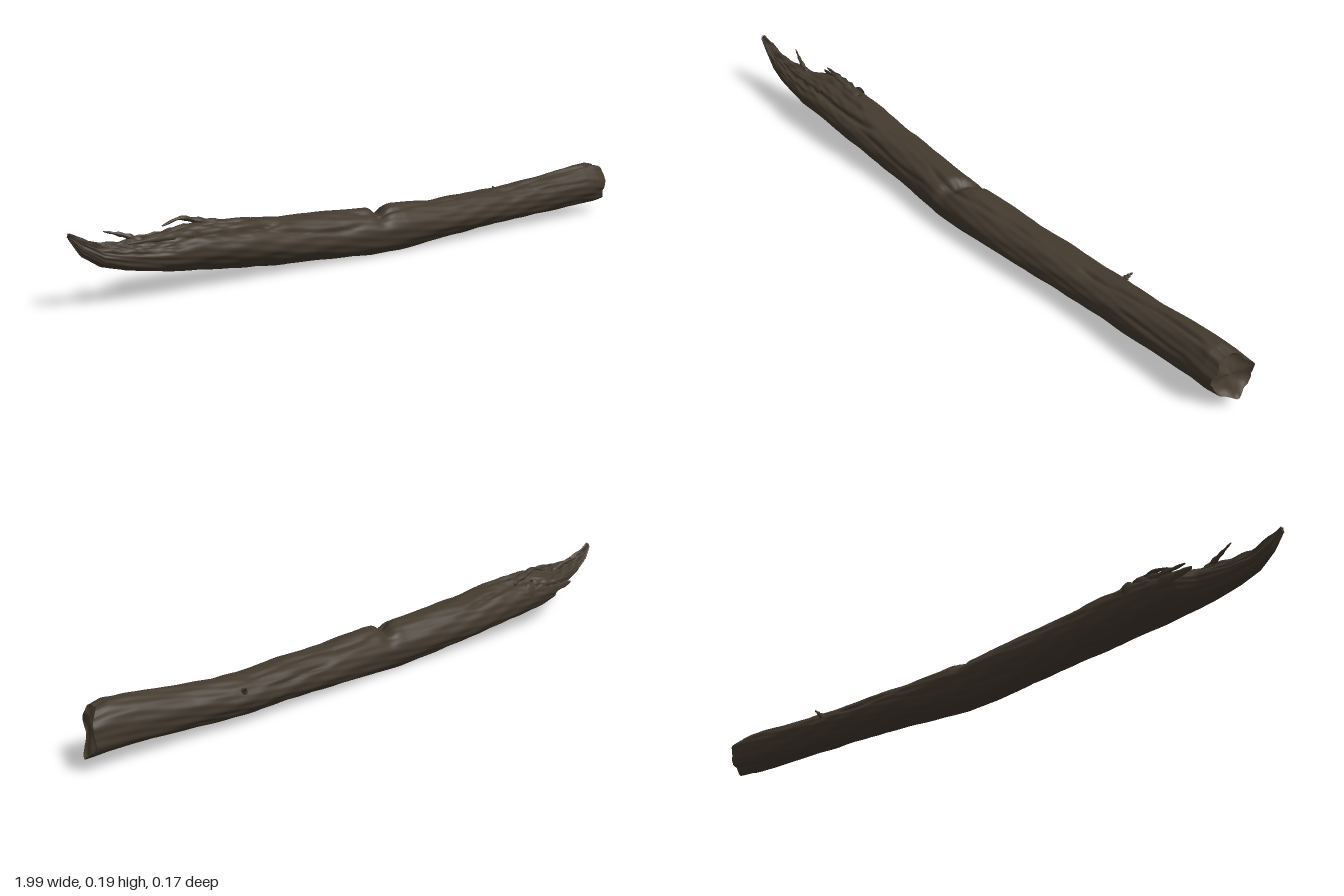
import * as THREE from 'three';

// Log outline: x, bottom y, top y, back z, front z
const STATIONS = [
  [-1.0, 0.178, 0.19, -0.004, 0.008], [-0.97, 0.135, 0.176, -0.013, 0.014],
  [-0.92, 0.102, 0.155, -0.02, 0.028], [-0.86, 0.084, 0.15, -0.03, 0.04],
  [-0.78, 0.068, 0.148, -0.05, 0.05], [-0.73, 0.06, 0.152, -0.08, 0.06],
  [-0.66, 0.05, 0.165, -0.088, 0.062], [-0.5, 0.034, 0.162, -0.083, 0.066],
  [-0.35, 0.02, 0.148, -0.076, 0.064], [-0.2, 0.011, 0.142, -0.068, 0.068],
  [-0.06, 0.003, 0.135, -0.06, 0.08], [0.04, 0.003, 0.138, -0.056, 0.083],
  [0.2, 0.012, 0.127, -0.059, 0.081], [0.35, 0.018, 0.13, -0.057, 0.074],
  [0.5, 0.022, 0.129, -0.059, 0.068], [0.58, 0.024, 0.133, -0.056, 0.068],
  [0.7, 0.03, 0.145, -0.044, 0.073], [0.86, 0.036, 0.163, -0.036, 0.077],
  [0.93, 0.037, 0.165, -0.032, 0.078], [0.97, 0.04, 0.158, -0.032, 0.074],
];
// Lengthwise cracks: start x, end x, angle, depth
const CRACKS = [
  [-0.72, -0.38, 0.85, 0.012], [-0.8, -0.45, 1.5, 0.014], [-0.7, -0.3, 2.2, 0.009],
  [-0.15, 0.3, 1.15, 0.007], [0.05, 0.55, 2.0, 0.006], [0.45, 0.92, 1.3, 0.008],
  [0.6, 0.9, 0.4, 0.004], [-0.5, -0.1, 0.45, 0.005], [0.2, 0.5, 2.7, 0.005],
];

const bump = (v, width) => Math.exp(-(v * v) / (width * width));
const ramp = THREE.MathUtils.smoothstep;

function section(x) {
  let i = 0;
  while (i < STATIONS.length - 2 && x > STATIONS[i + 1][0]) i++;
  const a = STATIONS[i], b = STATIONS[i + 1];
  const t = (x - a[0]) / (b[0] - a[0]);
  return [1, 2, 3, 4].map((k) => a[k] + (b[k] - a[k]) * t);
}

// Point on the bark at length x and angle a (0 = front, PI/2 = top)
function barkPoint(x, a) {
  const [y0, y1, z0, z1] = section(x);
  const ry = (y1 - y0) / 2, rz = (z1 - z0) / 2, up = Math.max(0, Math.sin(a));
  const torn = 1 - ramp(x, -0.85, -0.3);
  let d = 0.0012 * Math.sin(5 * a + 9 * x) + 0.001 * Math.sin(9 * a - 23 * x + 2 * Math.sin(7 * x))
    + 0.0007 * Math.sin(17 * a + 31 * x);
  // splintered upper side
  d += torn * up * (0.004 * Math.sin(13 * a + 40 * x) * Math.sin(57 * x + 4 * a) + 0.003 * Math.sin(21 * a + 9 * x));
  for (const [s, e, angle, depth] of CRACKS) {
    const along = ramp(x, s, s + 0.06) * (1 - ramp(x, e - 0.06, e));
    d -= depth * along * bump(a - angle - 0.12 * Math.sin(14 * x + s * 9), 0.11);
  }
  // notch across the top
  d -= 0.026 * bump(x + 0.02 + 0.03 * Math.cos(a), 0.022) * up * up;
  // ragged rim at the sawn end
  const end = ramp(x, 0.86, 0.97);
  d += end * 0.003 * Math.sin(7 * a + 1);
  d = Math.max(d, -0.45 * Math.min(ry, rz));
  const y = (y0 + y1) / 2 + (ry + d) * Math.sin(a);
  const z = (z0 + z1) / 2 + (rz + d) * Math.cos(a);
  const slant = end * (-0.38 * (z - 0.02) + 0.008 * Math.sin(3 * a) - 0.2 * (y - 0.1));
  return [Math.min(1, x + slant), Math.max(0, y), z];
}

// Skin a list of closed rings that advance along +x
function skin(rings, material, name) {
  const n = rings[0].length, index = [];
  for (let r = 0; r < rings.length - 1; r++) {
    for (let s = 0; s < n; s++) {
      const a = r * n + s, c = r * n + ((s + 1) % n);
      index.push(a, a + n, c, a + n, c + n, c);
    }
  }
  const geometry = new THREE.BufferGeometry();
  geometry.setAttribute('position', new THREE.Float32BufferAttribute(rings.flat(2), 3));
  geometry.setIndex(index);
  geometry.computeVertexNormals();
  const mesh = new THREE.Mesh(geometry, material);
  mesh.name = name;
  return mesh;
}

// Tapering, slightly crooked shard along a curve
function splinter(points, width, thickness, material, name) {
  const curve = new THREE.CatmullRomCurve3(points.map((p) => new THREE.Vector3(...p)));
  const geometry = new THREE.TubeGeometry(curve, 18, 1, 9, false);
  const pos = geometry.attributes.position;
  for (let i = 0; i < pos.count; i++) {
    const t = Math.floor(i / 10) / 18, c = curve.getPointAt(t);
    const taper = (1 - 0.85 * t) * (1 + 0.2 * Math.sin(t * 23));
    pos.setXYZ(i, c.x + (pos.getX(i) - c.x) * thickness * taper,
      c.y + (pos.getY(i) - c.y) * width * taper, c.z + (pos.getZ(i) - c.z) * thickness * taper);
  }
  geometry.computeVertexNormals();
  const mesh = new THREE.Mesh(geometry, material);
  mesh.name = name;
  return mesh;
}

export function createModel() {
  const group = new THREE.Group();
  group.name = 'fallenLog';
  const bark = new THREE.MeshStandardMaterial({ color: 0x443a2f, side: THREE.DoubleSide });
  bark.name = 'bark';
  const wood = new THREE.MeshStandardMaterial({ color: 0x493e32, side: THREE.DoubleSide });
  wood.name = 'endWood';

  // trunk
  const SIDES = 80, RINGS = 320, rings = [];
  for (let r = 0; r <= RINGS; r++) {
    const x = -1 + (1.97 * r) / RINGS;
    rings.push(Array.from({ length: SIDES }, (_, s) => barkPoint(x, (s / SIDES) * Math.PI * 2)));
  }
  group.add(skin(rings, bark, 'trunk'));

  // sawn end, slightly hollowed inside its rim
  const rim = rings[RINGS];
  const mid = rim.reduce((m, p) => m.map((v, k) => v + p[k] / SIDES), [0, 0, 0]);
  const cap = [1, 0.93, 0.85, 0.65, 0.4, 0.2, 0.001].map((f) => rim.map((p, s) => {
    const a = (s / SIDES) * Math.PI * 2;
    const q = p.map((v, k) => mid[k] + (v - mid[k]) * f);
    q[0] -= f === 1 ? 0 : 0.008 * ramp(1 - f, 0, 0.2) + 0.003 * f * Math.sin(4 * a + f * 9);
    return q;
  }));
  group.add(skin(cap, wood, 'sawnEnd'));

  // closed tip of the torn end
  const tip = rings[0].map(() => [-1, 0.184, 0.002]);
  group.add(skin([tip, rings[0]], bark, 'tornTip'));

  // torn shards: path, height, thickness
  const shards = [
    [[[-0.58, 0.115, -0.072], [-0.7, 0.112, -0.08], [-0.79, 0.12, -0.084]], 0.034, 0.011, 'backSlab'],
    [[[-0.62, 0.14, -0.06], [-0.7, 0.135, -0.078], [-0.77, 0.14, -0.08]], 0.017, 0.012, 'backSlabEdge'],
    [[[-0.55, 0.152, -0.03], [-0.62, 0.17, -0.035], [-0.66, 0.18, -0.033], [-0.71, 0.165, -0.04]], 0.012, 0.016, 'topShard'],
    [[[-0.79, 0.14, -0.015], [-0.83, 0.16, -0.022], [-0.88, 0.175, -0.04]], 0.011, 0.009, 'smallSplinter'],
    [[[-0.66, 0.145, 0.02], [-0.76, 0.15, 0.025], [-0.85, 0.148, 0.02]], 0.013, 0.012, 'frontSplinter'],
    [[[-0.82, 0.125, 0.01], [-0.91, 0.145, -0.005], [-0.97, 0.172, -0.012]], 0.014, 0.01, 'tipSplinter'],
    [[[0.55, 0.1, -0.045], [0.555, 0.11, -0.058], [0.56, 0.118, -0.07]], 0.01, 0.01, 'twigStub'],
  ];
  for (const [path, height, thickness, name] of shards) {
    group.add(splinter(path, height, thickness, bark, name));
  }
  return group;
}
